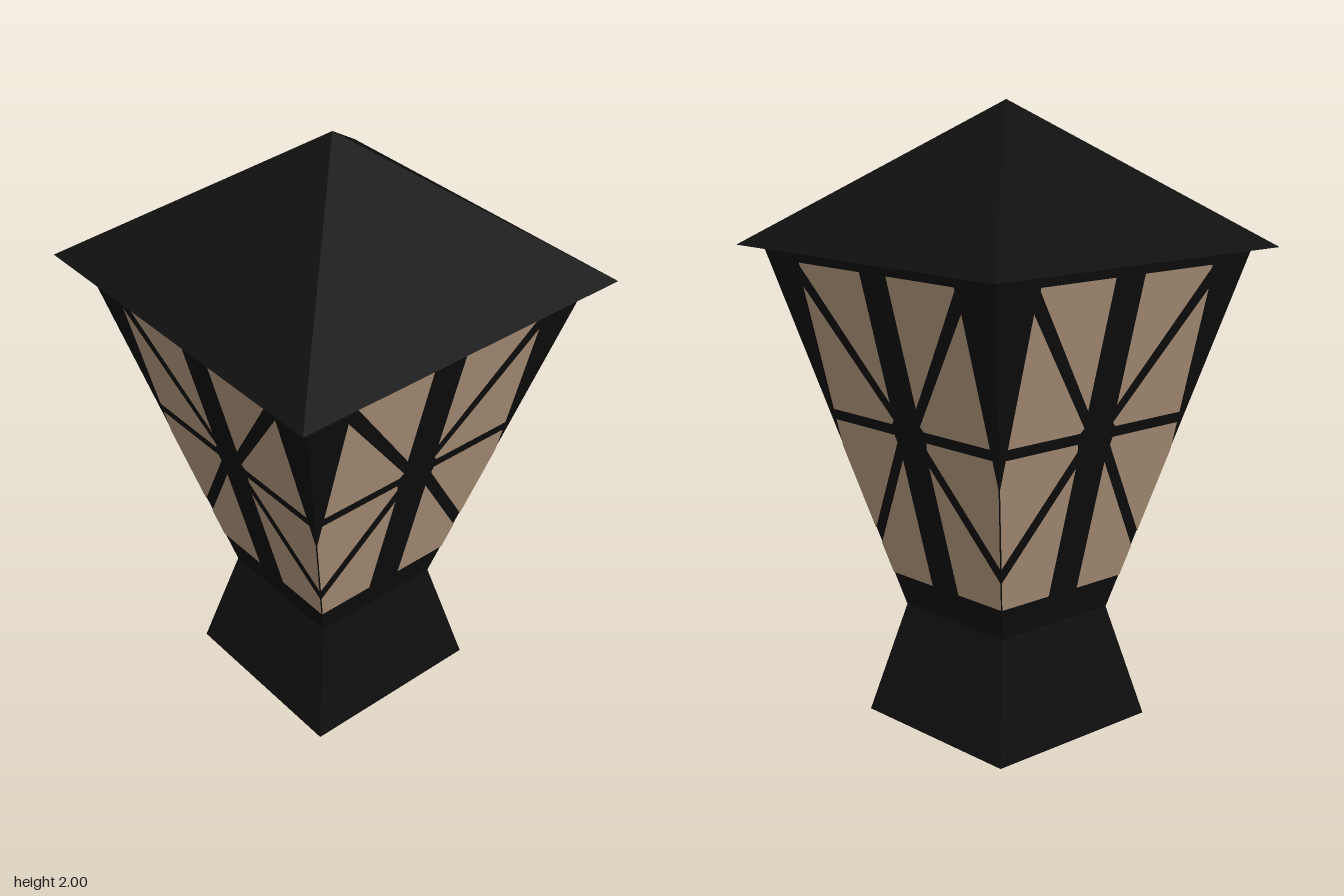
import * as THREE from 'three';

const frameBlack = new THREE.MeshStandardMaterial({ color: 0x0f0f0f });
frameBlack.name = 'frame black';
const paneTan = new THREE.MeshStandardMaterial({ color: 0xb99d82 });
paneTan.name = 'pane tan';

const WAIST_Y = 0.37, EAVE_Y = 1.55, TOP_Y = 2;
const WAIST = 0.23, EAVE = 0.54;

// Half width of the lantern body at a given height
const halfAt = (y) => WAIST + (EAVE - WAIST) * (y - WAIST_Y) / (EAVE_Y - WAIST_Y);

// Square frustum with faces square to the axes and crisp edges
function squareFrustum(name, bottom, top, y0, y1, open = false) {
  const r = Math.SQRT2;
  const geo = new THREE.CylinderGeometry(top * r, bottom * r, y1 - y0, 4, 1, open)
    .rotateY(Math.PI / 4)
    .translate(0, (y0 + y1) / 2, 0)
    .toNonIndexed();
  geo.computeVertexNormals();
  const mesh = new THREE.Mesh(geo, frameBlack);
  mesh.name = name;
  return mesh;
}

// Pane outlines on the +x half of a face, between the glazing bars
const PANES = {
  upperInnerPane: [[0.062, 1.1], [0.362, 1.5], [0.362, 1.51], [0.062, 1.51]],
  upperOuterPane: [[0.075, 1.03], [0.37, 1.03], [0.37, 1.435], [0.062, 1.045]],
  lowerOuterPane: [[0.075, 0.995], [0.37, 0.995], [0.37, 0.903], [0.298, 0.63], [0.07, 0.97]],
  lowerInnerPane: [[0.062, 0.915], [0.285, 0.58], [0.259, 0.48], [0.062, 0.48]],
};

// Flat pane leaned onto the sloping face, just proud of it
function pane(name, outline, side) {
  const shape = new THREE.Shape(outline.map(([x, y]) => new THREE.Vector2(x * side, y)));
  const geo = new THREE.ShapeGeometry(shape);
  const pos = geo.attributes.position;
  for (let i = 0; i < pos.count; i++) pos.setZ(i, halfAt(pos.getY(i)) + 0.003);
  geo.computeVertexNormals();
  const mesh = new THREE.Mesh(geo, paneTan);
  mesh.name = name;
  return mesh;
}

export function createModel() {
  const lantern = new THREE.Group();
  lantern.name = 'lantern';

  // Foot, flared body and overhanging pyramid roof
  lantern.add(
    squareFrustum('foot', 0.32, WAIST, 0, WAIST_Y),
    squareFrustum('body', WAIST, EAVE, WAIST_Y, EAVE_Y, true),
    squareFrustum('roof', 0.6, 0, EAVE_Y, TOP_Y),
  );

  // The same window on all four sides
  ['front', 'left', 'back', 'right'].forEach((label, i) => {
    const win = new THREE.Group();
    win.name = label + 'Window';
    for (const side of [1, -1])
      for (const [name, outline] of Object.entries(PANES)) win.add(pane(name, outline, side));
    win.rotation.y = i * Math.PI / 2;
    lantern.add(win);
  });
  return lantern;
}
